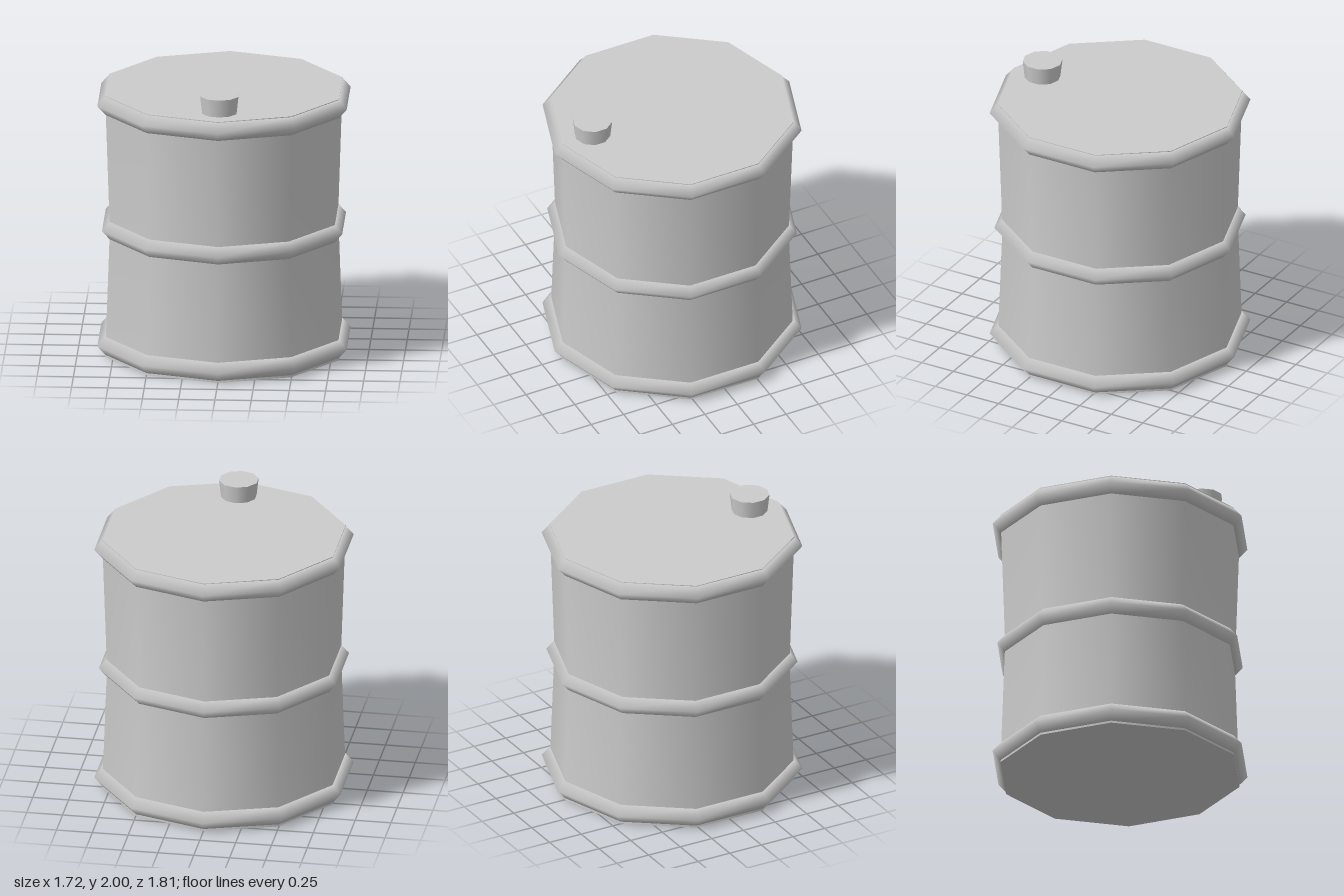
import * as THREE from 'three';

const SIDES = 10;
const material = new THREE.MeshStandardMaterial({ color: 0xcccccc });

function add(group, name, geometry, y, z = 0) {
  const mesh = new THREE.Mesh(geometry, material);
  mesh.name = name;
  mesh.position.set(0, y, z);
  group.add(mesh);
  return mesh;
}

export function createModel() {
  const barrel = new THREE.Group();
  barrel.name = 'barrel';
  const height = 1.875, waistY = 0.905, endRadius = 0.847, waistRadius = 0.814;

  // Ten-sided wall, slightly pinched at the waist
  const profile = [[endRadius, 0], [waistRadius, waistY], [endRadius, height]]
    .map(([r, y]) => new THREE.Vector2(r, y));
  add(barrel, 'wall', new THREE.LatheGeometry(profile, SIDES), 0);

  // Flat lid and base
  const disc = () => new THREE.CircleGeometry(endRadius, SIDES, Math.PI / 2);
  add(barrel, 'lid', disc().rotateX(-Math.PI / 2), height);
  add(barrel, 'base', disc().rotateX(Math.PI / 2), 0);

  // Hoops with a diamond section, a little taller than deep
  const hoops = [['bottomHoop', 0.08, endRadius], ['middleHoop', waistY, waistRadius], ['topHoop', 1.805, endRadius]];
  for (const [name, y, radius] of hoops) {
    const hoop = new THREE.TorusGeometry(radius, 0.056, 4, SIDES)
      .rotateX(Math.PI / 2).rotateY(Math.PI / 2).scale(1, 1.16, 1);
    add(barrel, name, hoop, y);
  }

  // Tapered bung near the front of the lid
  add(barrel, 'bung', new THREE.CylinderGeometry(0.138, 0.122, 0.14, SIDES), 1.93, 0.613);

  return barrel;
}
